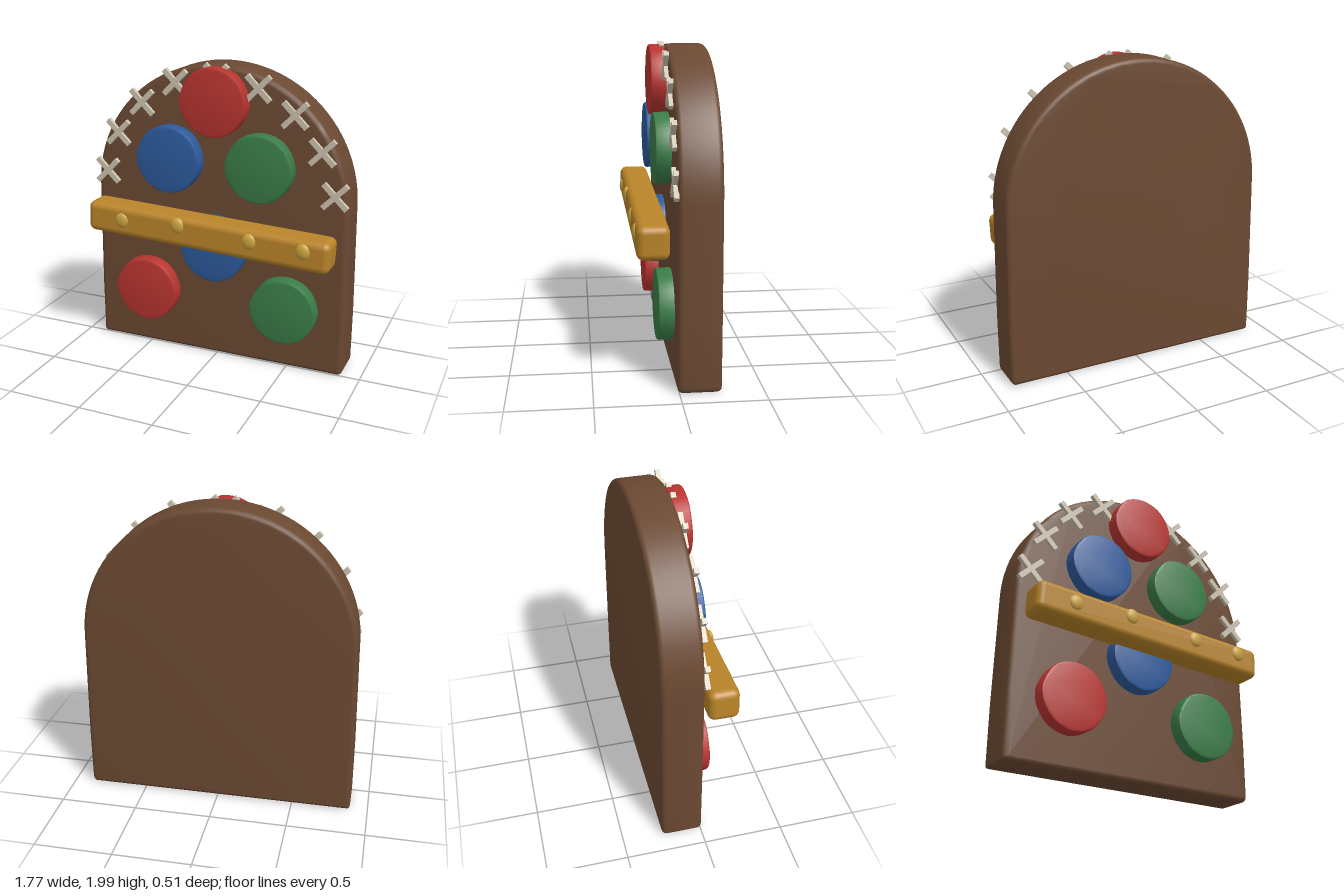
import * as THREE from 'three';
import { toCreasedNormals } from 'three/addons/utils/BufferGeometryUtils.js';
import { RoundedBoxGeometry } from 'three/addons/geometries/RoundedBoxGeometry.js';

const flat = (name, color) => {
  const m = new THREE.MeshStandardMaterial({ color });
  m.name = name;
  return m;
};

// Extrude an outline between two depths with a soft edge
function slab(shape, back, front, bevel, segments) {
  const g = new THREE.ExtrudeGeometry(shape, {
    depth: front - back - 2 * bevel,
    bevelThickness: bevel, bevelSize: bevel, bevelOffset: -bevel,
    bevelSegments: segments, curveSegments: 24,
  });
  g.translate(0, 0, back + bevel);
  return toCreasedNormals(g, 0.65);
}

export function createModel() {
  const model = new THREE.Group();
  const wood = flat('brown wood', 0x6b4932);
  const red = flat('red', 0xb8342f);
  const blue = flat('blue', 0x2c5a9c);
  const green = flat('green', 0x3a7c48);
  const gold = flat('ochre bar', 0xb98429);
  const brass = flat('pale gold', 0xcba440);
  const thread = flat('cream thread', 0xcdc4b0);

  const add = (name, geometry, material, x = 0, y = 0, z = 0, parent = model) => {
    const mesh = new THREE.Mesh(geometry, material);
    mesh.name = name;
    mesh.position.set(x, y, z);
    parent.add(mesh);
    return mesh;
  };

  // Arched door slab
  const arch = new THREE.Shape();
  arch.moveTo(-0.86, 0.01);
  arch.lineTo(0.85, 0.01);
  arch.quadraticCurveTo(0.875, 0.01, 0.88, 0.05);
  arch.lineTo(0.882, 0.4);
  arch.lineTo(0.873, 1.12);
  arch.absellipse(0, 1.12, 0.873, 0.87, 0, Math.PI, false, 0);
  arch.lineTo(-0.885, 0.4);
  arch.lineTo(-0.885, 0.035);
  arch.quadraticCurveTo(-0.885, 0.01, -0.86, 0.01);
  add('archedSlab', slab(arch, -0.25, 0.01, 0.03, 3), wood);

  // Irregular round discs
  const outline = [
    [0, 0.22], [0.12, 0.187], [0.19, 0.11], [0.222, 0], [0.2, -0.09], [0.125, -0.18],
    [0, -0.22], [-0.125, -0.18], [-0.2, -0.09], [-0.222, 0.005], [-0.2, 0.085], [-0.125, 0.185],
  ].map(([x, y]) => new THREE.Vector3(x, y, 0));
  const blob = new THREE.CatmullRomCurve3(outline, true).getPoints(36).slice(0, -1);
  const discGeometry = slab(new THREE.Shape(blob.map(p => new THREE.Vector2(p.x, p.y))), 0, 0.105, 0.012, 2);
  [
    ['topDisc', red, 0, 1.765], ['upperRightDisc', blue, -0.313, 1.37],
    ['upperLeftDisc', green, 0.308, 1.37], ['middleDisc', blue, 0, 0.795],
    ['lowerRightDisc', red, -0.49, 0.435], ['lowerLeftDisc', green, 0.487, 0.435],
  ].forEach(([name, material, x, y]) => add(name, discGeometry, material, x, y));

  // Tilted cross bar
  const bar = add('crossBar', new RoundedBoxGeometry(1.665, 0.205, 0.195, 3, 0.045), gold, -0.004, 0.933, 0.145);
  bar.rotation.z = -0.045;

  // Studs on the bar
  const studGeometry = new THREE.SphereGeometry(0.05, 20, 12);
  [[-0.58, 0.97], [-0.18, 0.985], [0.31, 0.948], [0.66, 0.932]].forEach(([x, y]) => {
    add('stud', studGeometry, brass, x, y, 0.235).scale.set(0.97, 1.05, 0.5);
  });

  // Crossed stitches along the arch
  const strand = new THREE.BoxGeometry(0.215, 0.034, 0.03);
  const stitch = (x, y) => {
    const cross = new THREE.Group();
    cross.name = 'crossStitch';
    cross.position.set(x, y, 0.022);
    for (const s of [-1, 1]) {
      add('strand', strand, thread, 0, 0, s * 0.002, cross).rotation.z = s * Math.PI / 4;
    }
    model.add(cross);
  };
  stitch(0, 1.915);
  for (const [x, y] of [[0.79, 1.235], [0.7, 1.505], [0.52, 1.72], [0.28, 1.865]]) {
    stitch(x, y);
    stitch(-x, y);
  }
  return model;
}
